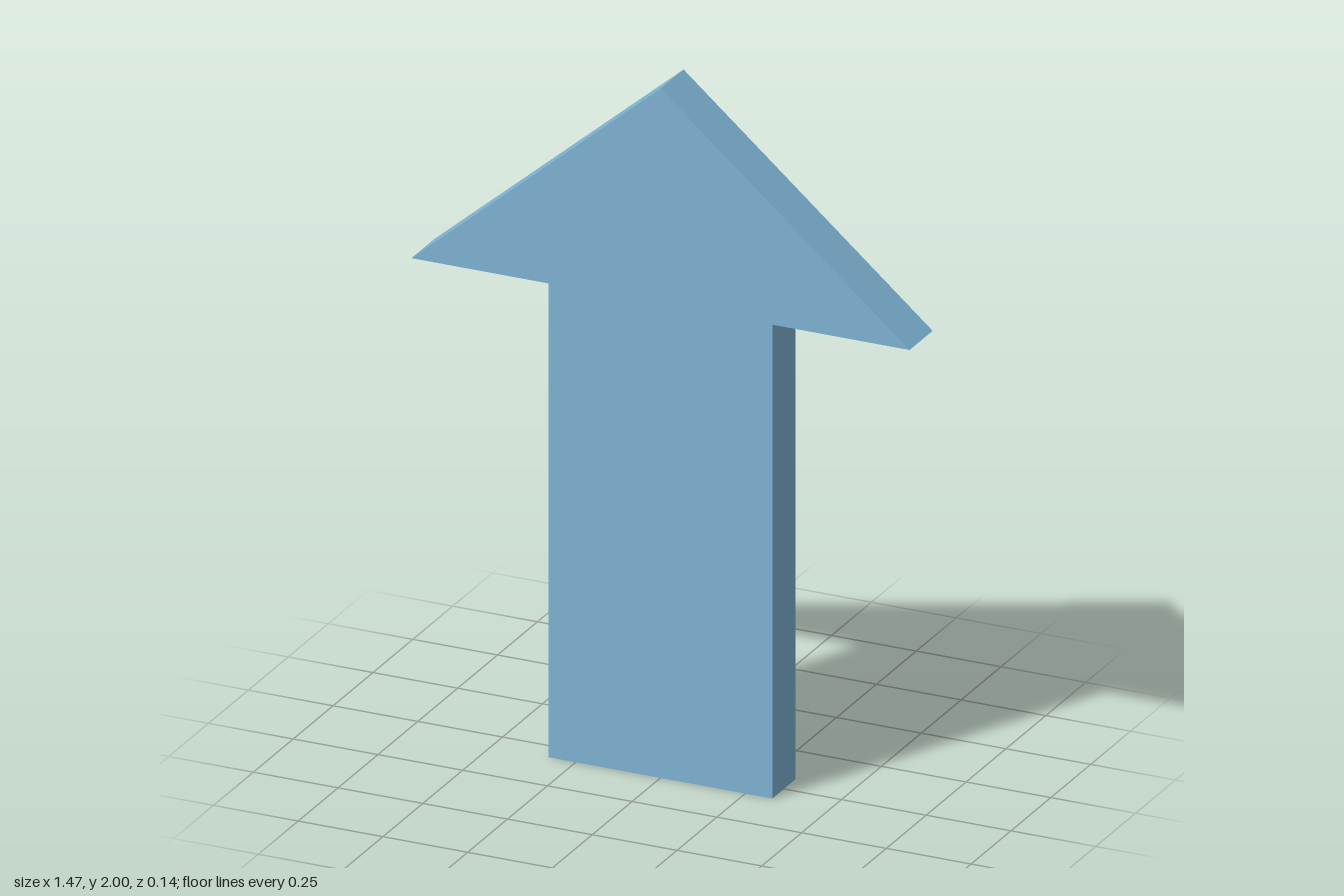
import * as THREE from 'three';

export function createModel() {
  const model = new THREE.Group();
  model.name = 'upArrow';

  const depth = 0.145;
  const shaftHalf = 0.33, headHalf = 0.735;
  const headBase = 1.375, tip = 2;

  // Right half of the outline, mirrored to close the arrow counter-clockwise
  const half = [[shaftHalf, 0], [shaftHalf, headBase], [headHalf, headBase]];
  const outline = [
    ...half,
    [0, tip],
    ...half.map(([x, y]) => [-x, y]).reverse(),
  ].map(([x, y]) => new THREE.Vector2(x, y));

  // Flat slab, centred in depth
  const geometry = new THREE.ExtrudeGeometry(new THREE.Shape(outline), {
    depth,
    bevelEnabled: false,
  });
  geometry.translate(0, 0, -depth / 2);

  const arrow = new THREE.Mesh(
    geometry,
    new THREE.MeshStandardMaterial({ color: 0x7fb5d5 })
  );
  arrow.name = 'arrow';
  model.add(arrow);
  return model;
}
